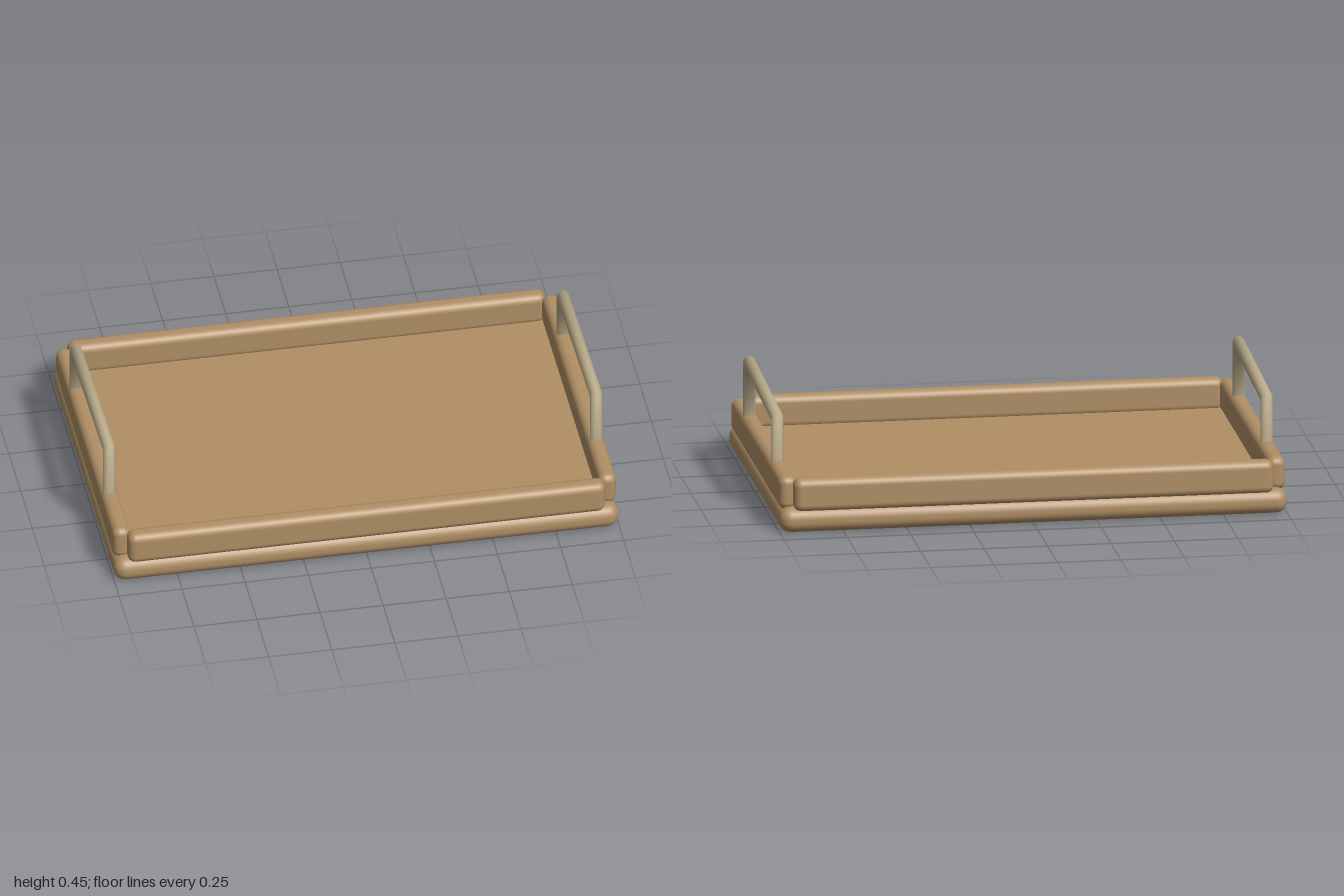
import * as THREE from 'three';
import { RoundedBoxGeometry } from 'three/addons/geometries/RoundedBoxGeometry.js';

const wood = new THREE.MeshStandardMaterial({ name: 'wood', color: 0xb08f65 });
const metal = new THREE.MeshStandardMaterial({ name: 'brushed brass', color: 0xb9aa8a, side: THREE.DoubleSide });

function roundedBoard(name, w, h, d, r, x, y, z) {
  const mesh = new THREE.Mesh(new RoundedBoxGeometry(w, h, d, 5, r), wood);
  mesh.name = name;
  mesh.position.set(x, y, z);
  return mesh;
}

// Handle: oval rings lofted up the front leg, along the grip and down the back leg
function handleGeometry() {
  // each ring: centre z, y, then outward half-axis z, y
  const rings = [
    [0.353, 0.17, 0.019, 0],
    [0.352, 0.424, 0.011, 0.024],
    [-0.351, 0.387, -0.010, 0.023],
    [-0.350, 0.17, -0.018, 0],
  ];
  const sides = 12, halfWidth = 0.025;
  const pos = [], index = [];
  rings.forEach(([z, y, dz, dy], i) => {
    for (let j = 0; j < sides; j++) {
      const a = (j / sides) * Math.PI * 2;
      pos.push(Math.cos(a) * halfWidth, y + dy * Math.sin(a), z + dz * Math.sin(a));
      if (i < rings.length - 1) {
        const p = i * sides + j, q = i * sides + (j + 1) % sides;
        index.push(p, p + sides, q, q, p + sides, q + sides);
      }
    }
  });
  const geo = new THREE.BufferGeometry();
  geo.setAttribute('position', new THREE.Float32BufferAttribute(pos, 3));
  geo.setIndex(index);
  geo.computeVertexNormals();
  return geo;
}

export function createModel() {
  const tray = new THREE.Group();
  tray.name = 'servingTray';

  // Base board
  tray.add(roundedBoard('base', 2, 0.098, 1.35, 0.045, 0, 0.049, 0));

  const handleGeo = handleGeometry();
  for (const s of [1, -1]) {
    const end = s > 0 ? 'front' : 'back', side = s > 0 ? 'left' : 'right';
    // Long rails at front and back, short rails at the sides
    tray.add(roundedBoard(end + 'Rail', 1.89, 0.132, 0.076, 0.03, 0, 0.149, s * 0.633));
    tray.add(roundedBoard(side + 'Rail', 0.07, 0.132, 1.24, 0.03, s * 0.963, 0.149, 0));
    // Handle standing on each side rail
    const handle = new THREE.Mesh(handleGeo, metal);
    handle.name = side + 'Handle';
    handle.position.x = s * 0.965;
    tray.add(handle);
  }
  return tray;
}
